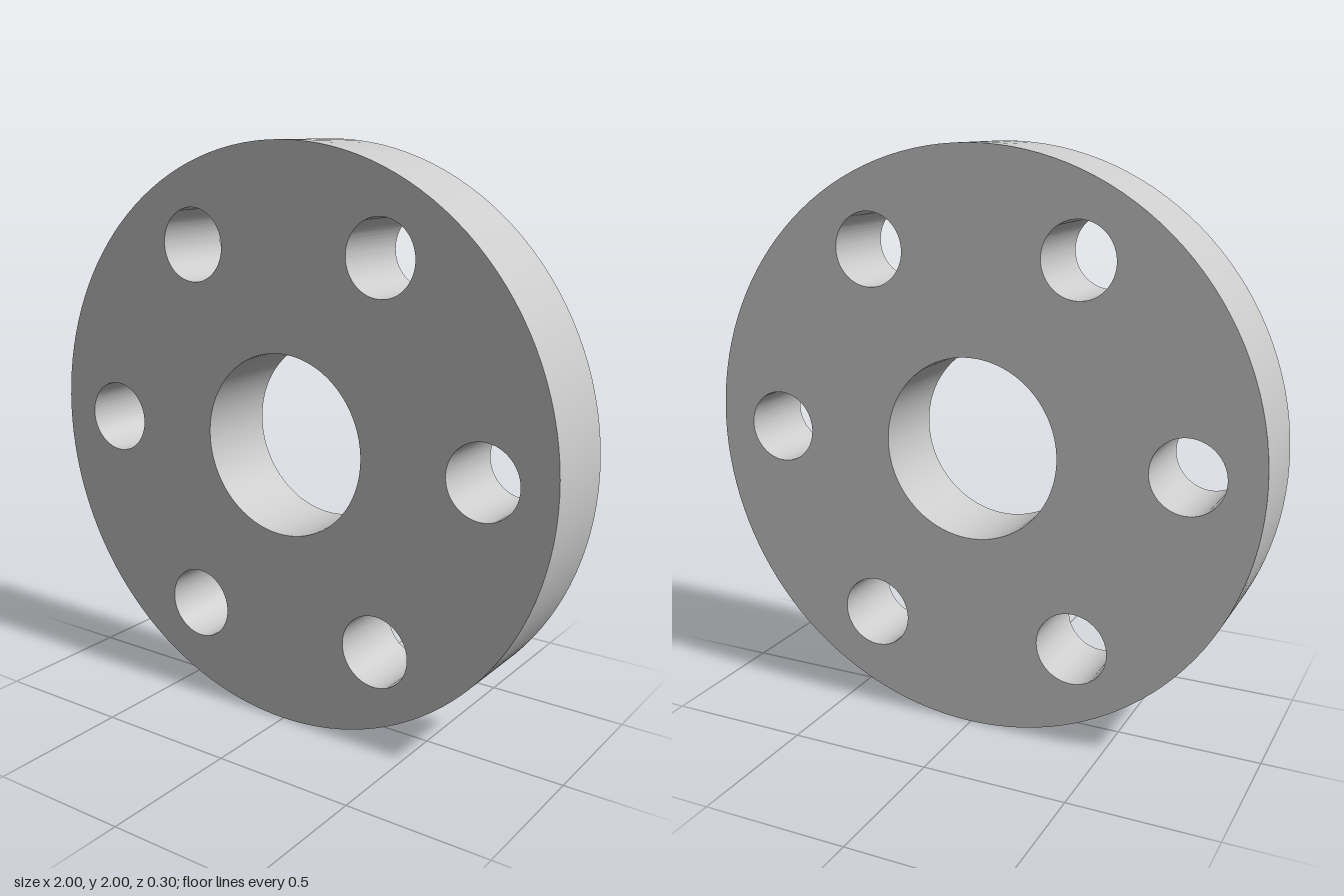
import * as THREE from 'three';
import { toCreasedNormals } from 'three/addons/utils/BufferGeometryUtils.js';

const RADIUS = 1;
const THICKNESS = 0.3;
const BORE_RADIUS = 0.313;
const BOLT_RADIUS = 0.126;
const BOLT_CIRCLE = 0.75;
const BOLT_COUNT = 6;

// Circular cut-out at a point of the disc
function hole(x, y, radius) {
  return new THREE.Path().absarc(x, y, radius, 0, Math.PI * 2, true);
}

export function createModel() {
  const group = new THREE.Group();
  group.name = 'flange';

  // Disc outline with the centre bore and a ring of bolt holes
  const outline = new THREE.Shape().absarc(0, 0, RADIUS, 0, Math.PI * 2, false);
  outline.holes.push(hole(0, 0, BORE_RADIUS));
  for (let i = 0; i < BOLT_COUNT; i++) {
    const angle = (i / BOLT_COUNT) * Math.PI * 2;
    outline.holes.push(hole(Math.cos(angle) * BOLT_CIRCLE, Math.sin(angle) * BOLT_CIRCLE, BOLT_RADIUS));
  }

  // Flat faces with smooth round walls and sharp rims
  const geometry = new THREE.ExtrudeGeometry(outline, {
    depth: THICKNESS,
    bevelEnabled: false,
    curveSegments: 64,
  });
  geometry.translate(0, RADIUS, -THICKNESS / 2);

  const disc = new THREE.Mesh(
    toCreasedNormals(geometry, Math.PI / 6),
    new THREE.MeshStandardMaterial({ color: 0xcccccc })
  );
  disc.name = 'flangeDisc';
  group.add(disc);
  return group;
}
